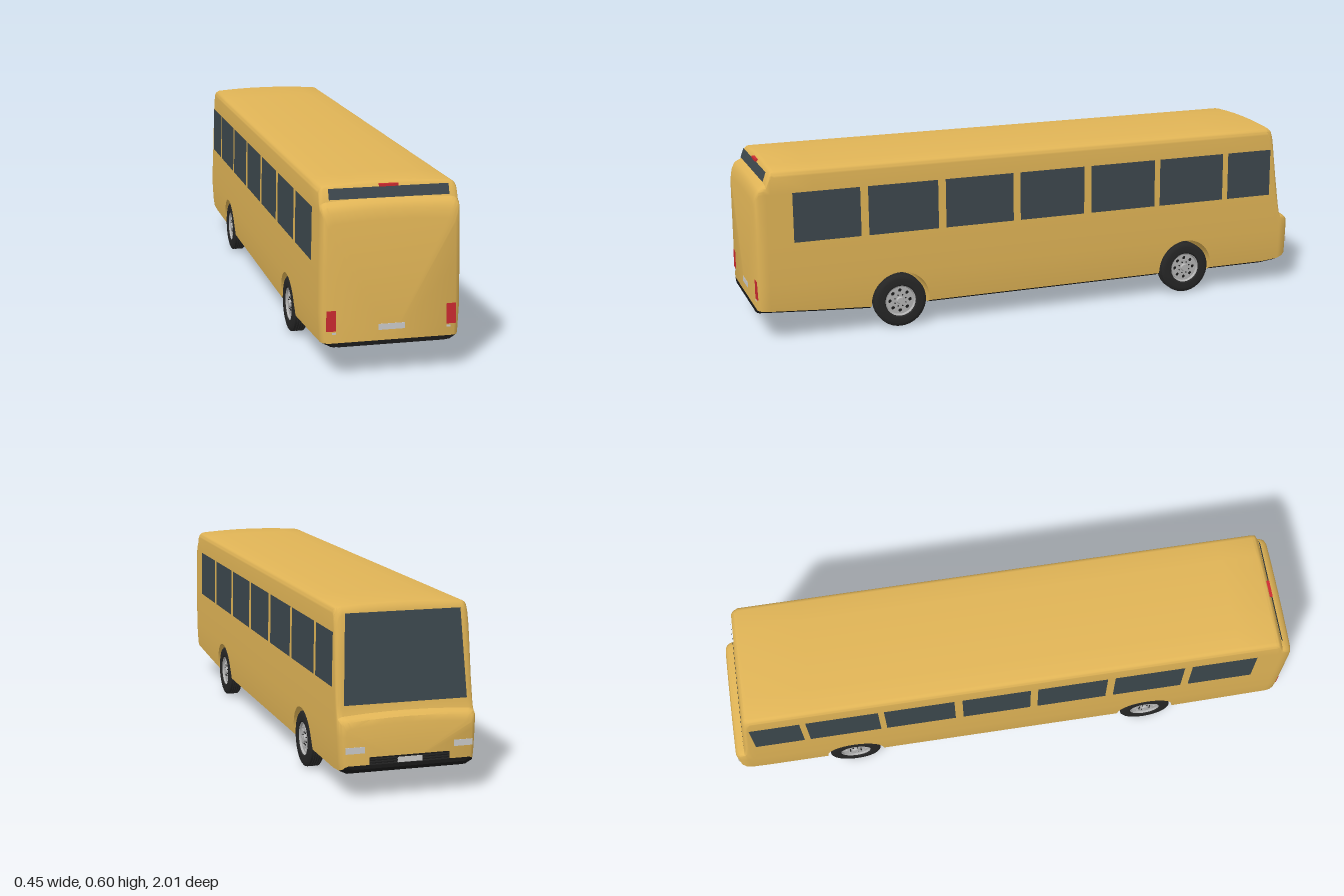
import * as THREE from 'three';
import { toCreasedNormals } from 'three/addons/utils/BufferGeometryUtils.js';

const mat = (color, side = THREE.FrontSide) => new THREE.MeshStandardMaterial({ color, side });
const paint = mat(0xe0b456), black = mat(0x1a1a1a), glass = mat(0x3c474d, THREE.DoubleSide);
const red = mat(0xcc2a30), grey = mat(0xcccccc), rubber = mat(0x262626);
const metal = mat(0xb4b4b4, THREE.DoubleSide);

const WHEEL_Z = [-0.577, 0.508], ARCH_R = 0.103, ARCH_Y = 0.095;

// Long profile of the body: z, roof height, side inset, corner height
const TOP = [
  [-1, 0.235, 0.02, 0.012], [-0.994, 0.253, 0.01, 0.012], [-0.982, 0.262, 0.003, 0.012],
  [-0.966, 0.266, 0, 0.012], [-0.96, 0.285, 0, 0.025], [-0.955, 0.326, 0, 0.06],
  [-0.94, 0.448, 0, 0.12], [-0.925, 0.57, 0, 0.12], [-0.92, 0.585, 0, 0.09],
  [-0.912, 0.593, 0, 0.05], [-0.9, 0.595, 0, 0.022], [0.93, 0.595, 0, 0.022],
  [0.938, 0.593, 0, 0.022], [0.945, 0.587, 0, 0.022], [0.959, 0.549, 0, 0.018],
  [0.968, 0.546, 0, 0.018], [0.983, 0.538, 0.003, 0.018], [0.993, 0.52, 0.009, 0.02],
  [1, 0.49, 0.02, 0.02],
];
const FLOOR = [[-1, 0.098], [-0.985, 0.085], [-0.96, 0.076], [-0.9, 0.07], [0.6, 0.07], [0.8, 0.083], [1, 0.098]];
const WIDTH = [[0.07, 0.213], [0.12, 0.219], [0.2, 0.223], [0.34, 0.2215], [0.51, 0.2185], [0.6, 0.2165]];

// Linear lookup in a table keyed by its first column
function lookup(table, t, col = 1) {
  if (t <= table[0][0]) return table[0][col];
  for (let i = 1; i < table.length; i++) {
    const a = table[i - 1], b = table[i];
    if (t <= b[0]) return a[col] + (b[col] - a[col]) * (t - a[0]) / (b[0] - a[0]);
  }
  return table[table.length - 1][col];
}

// Cross-section of the body at z: shell (left sill over the roof to right sill) and floor
function section(z) {
  const [top, inset, ry] = [1, 2, 3].map(c => lookup(TOP, z, c));
  const wz = WHEEL_Z.find(c => Math.abs(z - c) <= ARCH_R + 1e-6);
  const arch = wz !== undefined;
  const low = arch ? ARCH_Y + Math.sqrt(Math.max(0, ARCH_R ** 2 - (z - wz) ** 2)) : lookup(FLOOR, z);
  const sill = low + (arch ? 0 : 0.012);
  const crown = 0.008, rx = 0.024, eave = top - crown - ry;
  const half = [];
  for (const y of [0, 0.12, 0.16, 0.2, 0.34, 0.51, 1]) {
    const yc = Math.min(Math.max(y, sill), eave);
    half.push([lookup(WIDTH, yc) - inset, yc]);
  }
  const w = half[half.length - 1][0];
  for (let i = 1; i <= 6; i++) {
    const a = i / 6 * Math.PI / 2;
    half.push([w - rx + rx * Math.cos(a), eave + ry * Math.sin(a)]);
  }
  for (const f of [0.66, 0.33]) half.push([(w - rx) * f, top - crown * f * f]);
  const left = half.map(([x, y]) => [-x, y, z]);
  const right = half.map(([x, y]) => [x, y, z]).reverse();
  const ws = half[0][0], wf = Math.min(0.19, ws - 0.015);
  return {
    arch, sill, z,
    shell: [...left, [0, top, z], ...right],
    floor: [[ws, sill, z], [wf, low, z], [-wf, low, z], [-ws, sill, z]],
  };
}

// Skin a list of equal-length rows of points
function loft(rows, crease = 0.6) {
  const n = rows[0].length, index = [];
  for (let i = 0; i < rows.length - 1; i++)
    for (let j = 0; j < n - 1; j++) {
      const a = i * n + j, c = a + n;
      index.push(a, c, a + 1, a + 1, c, c + 1);
    }
  const g = new THREE.BufferGeometry();
  g.setAttribute('position', new THREE.Float32BufferAttribute(rows.flat(2), 3));
  g.setIndex(index);
  return toCreasedNormals(g, crease);
}

function add(parent, name, geometry, material) {
  const m = new THREE.Mesh(geometry, material);
  m.name = name;
  parent.add(m);
  return m;
}

function buildBody(bus) {
  const zs = [...TOP, ...FLOOR].map(r => r[0]);
  for (const c of WHEEL_Z) {
    zs.push(c - ARCH_R - 0.0005, c + ARCH_R + 0.0005);
    for (let i = 0; i <= 24; i++) zs.push(c - ARCH_R * Math.cos(i / 24 * Math.PI));
  }
  const secs = [...new Set(zs)].sort((a, b) => a - b).map(section);
  // Ends close onto a point at the middle of the sill
  const end = (s, key) => s[key].map(() => [0, s.sill, s.z]);
  const first = secs[0], last = secs[secs.length - 1];
  add(bus, 'bodyShell', loft([end(first, 'shell'), ...secs.map(s => s.shell), end(last, 'shell')]), paint);
  // Underside: black floor panels between painted wheel arch tunnels
  const runs = [[first]];
  for (let i = 1; i < secs.length; i++) {
    if (secs[i].arch !== secs[i - 1].arch) runs.push([]);
    runs[runs.length - 1].push(secs[i]);
  }
  runs.forEach((run, k) => {
    const rows = run.map(s => s.floor);
    if (run[0].arch) {
      rows.unshift(runs[k - 1][runs[k - 1].length - 1].floor);
      rows.push(runs[k + 1][0].floor);
    }
    if (k === 0) rows.unshift(end(first, 'floor'));
    if (k === runs.length - 1) rows.push(end(last, 'floor'));
    add(bus, run[0].arch ? 'wheelArch' : 'floorPanel', loft(rows), run[0].arch ? paint : black);
  });
}

// Thin block given by its extents
function block(bus, name, material, x0, x1, y0, y1, z0, z1) {
  const g = new THREE.BoxGeometry(x1 - x0, y1 - y0, z1 - z0);
  add(bus, name, g, material).position.set((x0 + x1) / 2, (y0 + y1) / 2, (z0 + z1) / 2);
}

function buildWindows(bus) {
  const spans = [[0.642, 0.872], [0.369, 0.615], [0.096, 0.342], [-0.17, 0.07],
    [-0.444, -0.198], [-0.717, -0.465], [-0.912, -0.738]];
  for (const s of [-1, 1])
    for (const [z0, z1] of spans) {
      const row = z => [0.34, 0.51].map(y => [s * (lookup(WIDTH, y) + 0.0015), y, z]);
      add(bus, 'sideWindow', loft(s < 0 ? [row(z0), row(z1)] : [row(z1), row(z0)]), glass);
    }
  add(bus, 'windshield', loft([
    [[-0.2, 0.29, -0.9625], [0.2, 0.29, -0.9625]],
    [[-0.187, 0.568, -0.9285], [0.187, 0.568, -0.9285]]]), glass);
  add(bus, 'rearWindow', loft([
    [[-0.189, 0.58, 0.951], [0.189, 0.58, 0.951]],
    [[-0.189, 0.548, 0.9625], [0.189, 0.548, 0.9625]]]), glass);
}

function buildFittings(bus) {
  for (const s of [-1, 1]) {
    const pair = (name, m, a, b, ...rest) => block(bus, name, m, Math.min(s * a, s * b), Math.max(s * a, s * b), ...rest);
    pair('tailLight', red, 0.175, 0.205, 0.148, 0.213, 0.986, 1.001);
    pair('reflector', grey, 0.175, 0.188, 0.138, 0.144, 0.99, 1.001);
    pair('headlight', grey, 0.145, 0.206, 0.148, 0.168, -1.001, -0.985);
  }
  block(bus, 'brakeLight', red, -0.03, 0.03, 0.58, 0.588, 0.94, 0.954);
  block(bus, 'rearPlate', grey, -0.042, 0.042, 0.143, 0.162, 0.99, 1.001);
  block(bus, 'rearBumperStep', black, -0.17, 0.17, 0.097, 0.108, 0.98, 1.001);
  // Front grille with bars and plate
  block(bus, 'grille', black, -0.13, 0.13, 0.106, 0.134, -1.001, -0.98);
  for (const y of [0.112, 0.12, 0.128]) block(bus, 'grilleBar', rubber, -0.128, 0.128, y - 0.002, y + 0.002, -1.003, -0.99);
  block(bus, 'frontPlate', grey, -0.04, 0.04, 0.112, 0.129, -1.004, -0.99);
}

// Wheel built around the y axis, outer face up
function buildWheel() {
  const wheel = new THREE.Group();
  wheel.name = 'wheel';
  const v = ([r, h]) => new THREE.Vector2(r, h);
  const side = [[0.053, -0.02], [0.058, -0.0245], [0.078, -0.0255], [0.087, -0.023], [0.0915, -0.019]];
  const tread = [];
  for (const h of [-0.012, -0.004, 0.004, 0.012])
    tread.push([0.092, h - 0.0022], [0.0885, h - 0.001], [0.0885, h + 0.001], [0.092, h + 0.0022]);
  const mirrored = side.map(([r, h]) => [r, -h]).reverse();
  add(wheel, 'tyre', toCreasedNormals(new THREE.LatheGeometry([...side, ...tread, ...mirrored].map(v), 40), 0.6), rubber);
  const barrel = [[0.054, -0.021], [0.05, -0.019], [0.047, 0], [0.05, 0.019], [0.054, 0.021]];
  add(wheel, 'rim', new THREE.LatheGeometry(barrel.map(v), 40), metal);
  // Disc with a ring of round holes
  const disc = new THREE.Shape().absarc(0, 0, 0.049, 0, Math.PI * 2);
  for (let i = 0; i < 8; i++) {
    const a = i / 8 * Math.PI * 2;
    disc.holes.push(new THREE.Path().absarc(0.036 * Math.cos(a), 0.036 * Math.sin(a), 0.0065, 0, Math.PI * 2, true));
    const nut = new THREE.CylinderGeometry(0.0022, 0.0022, 0.006, 6).translate(0.021 * Math.cos(a + 0.4), 0.016, 0.021 * Math.sin(a + 0.4));
    add(wheel, 'wheelNut', nut, rubber);
  }
  const face = new THREE.ExtrudeGeometry(disc, { depth: 0.004, bevelEnabled: false, curveSegments: 20 });
  add(wheel, 'wheelDisc', face.rotateX(-Math.PI / 2).translate(0, 0.011, 0), metal);
  add(wheel, 'wheelBacking', new THREE.CircleGeometry(0.048, 32).rotateX(-Math.PI / 2).translate(0, 0.009, 0), black);
  add(wheel, 'innerDisc', new THREE.CircleGeometry(0.048, 32).rotateX(Math.PI / 2).translate(0, 0.008, 0), grey);
  add(wheel, 'hub', new THREE.CylinderGeometry(0.011, 0.014, 0.008, 20).translate(0, 0.018, 0), metal);
  return wheel;
}

export function createModel() {
  const bus = new THREE.Group();
  bus.name = 'bus';
  buildBody(bus);
  buildWindows(bus);
  buildFittings(bus);
  for (const z of WHEEL_Z)
    for (const s of [-1, 1]) {
      const wheel = buildWheel();
      wheel.rotation.z = -s * Math.PI / 2;
      wheel.position.set(s * 0.193, 0.092, z);
      bus.add(wheel);
    }
  return bus;
}
